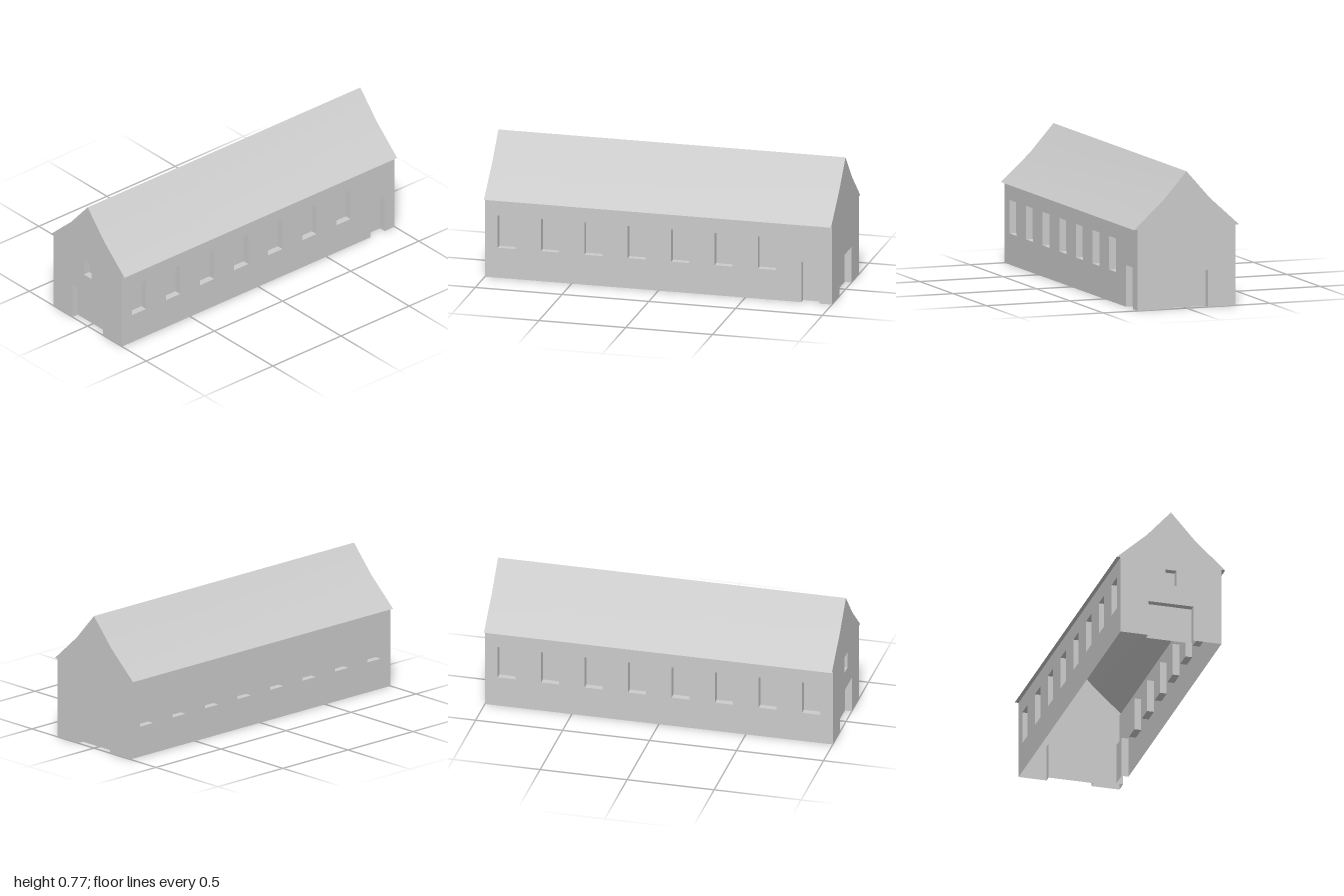
import * as THREE from 'three';

const HALF = 1, DEPTH = 0.293, EAVE_Y = 0.455, RECESS = 0.04;
// Roof half-profile from ridge to eave: [z, y]
const ROOF = [[0, 0.77], [0.14, 0.613], [0.315, EAVE_Y]];

const material = new THREE.MeshStandardMaterial({ color: 0xcccccc, side: THREE.DoubleSide });

function addMesh(parent, name, geometry) {
  const mesh = new THREE.Mesh(geometry, material);
  mesh.name = name;
  parent.add(mesh);
  return mesh;
}

// Recessed opening in a wall facing +z: back panel, jambs, head and (for windows) a sill
function addRecess(parent, name, { x, w, y0, y1 }) {
  const group = new THREE.Group();
  group.name = name;
  parent.add(group);
  const h = y1 - y0, yc = (y0 + y1) / 2;
  addMesh(group, 'panel', new THREE.PlaneGeometry(w, h)).position.set(x, yc, -RECESS);
  for (const s of [-1, 1]) {
    const jamb = addMesh(group, 'jamb', new THREE.PlaneGeometry(RECESS, h));
    jamb.position.set(x + s * w / 2, yc, -RECESS / 2);
    jamb.rotation.y = -s * Math.PI / 2;
  }
  const head = addMesh(group, 'head', new THREE.PlaneGeometry(w, RECESS));
  head.position.set(x, y1, -RECESS / 2);
  head.rotation.x = Math.PI / 2;
  if (y0 > 0) {
    const sill = addMesh(group, 'sill', new THREE.PlaneGeometry(w, RECESS));
    sill.position.set(x, y0, -RECESS / 2);
    sill.rotation.x = -Math.PI / 2;
  }
}

// Thin wall with window holes and an optional doorway notched into its foot
function makeWall(name, halfWidth, top, windows, door) {
  const wall = new THREE.Group();
  wall.name = name;
  const outline = [[-halfWidth, 0]];
  if (door) {
    const a = door.x - door.w / 2, b = door.x + door.w / 2;
    outline.push([a, 0], [a, door.y1], [b, door.y1], [b, 0]);
    addRecess(wall, 'door', door);
  }
  outline.push([halfWidth, 0], ...top);
  const shape = new THREE.Shape(outline.map(p => new THREE.Vector2(...p)));
  for (const o of windows) {
    const a = o.x - o.w / 2, b = o.x + o.w / 2;
    shape.holes.push(new THREE.Path([
      [a, o.y0], [a, o.y1], [b, o.y1], [b, o.y0],
    ].map(p => new THREE.Vector2(...p))));
    addRecess(wall, 'window', o);
  }
  addMesh(wall, 'wallFace', new THREE.ShapeGeometry(shape));
  return wall;
}

// One roof slope with a softly bent profile
function makeSlope() {
  const geometry = new THREE.PlaneGeometry(2 * HALF, 1, 1, ROOF.length - 1);
  const pos = geometry.attributes.position;
  for (let i = 0; i < pos.count; i++) {
    const [z, y] = ROOF[Math.floor(i / 2)];
    pos.setXYZ(i, pos.getX(i), y, z);
  }
  geometry.computeVertexNormals();
  return geometry;
}

export function createModel() {
  const model = new THREE.Group();
  model.name = 'longHouse';

  // Long walls: evenly spaced windows, the last front bay being a door
  const bays = Array.from({ length: 8 }, (_, i) => ({ x: -0.875 + i * 0.25, w: 0.104, y0: 0.175, y1: 0.364 }));
  const longTop = [[HALF, EAVE_Y], [-HALF, EAVE_Y]];
  const frontDoor = { x: 0.875, w: 0.104, y0: 0, y1: 0.234 };
  const front = makeWall('frontWall', HALF, longTop, bays.slice(0, 7), frontDoor);
  front.position.z = DEPTH;
  const back = makeWall('backWall', HALF, longTop, bays);
  back.position.z = -DEPTH;
  back.rotation.y = Math.PI;
  model.add(front, back);

  // Gable ends follow the roof profile and each hold a wide doorway
  const gableTop = [
    [DEPTH, EAVE_Y],
    ...[...ROOF].reverse(),
    ...ROOF.slice(1).map(([z, y]) => [-z, y]),
    [-DEPTH, EAVE_Y],
  ];
  const gate = { x: 0, w: 0.26, y0: 0, y1: 0.208 };
  const loftWindow = { x: 0, w: 0.066, y0: 0.32, y1: 0.415 };
  for (const [side, name, windows] of [[1, 'leftGable', []], [-1, 'rightGable', [loftWindow]]]) {
    const gable = makeWall(name, DEPTH, gableTop, windows, gate);
    gable.position.x = side * HALF;
    gable.rotation.y = side * Math.PI / 2;
    model.add(gable);
  }

  // Roof slopes and the narrow soffits under the eaves
  const overhang = ROOF[2][0] - DEPTH;
  for (const s of [1, -1]) {
    const slope = addMesh(model, s > 0 ? 'frontRoof' : 'backRoof', makeSlope());
    if (s < 0) slope.rotation.y = Math.PI;
    const soffit = addMesh(model, 'soffit', new THREE.PlaneGeometry(2 * HALF, overhang));
    soffit.position.set(0, EAVE_Y, s * (DEPTH + overhang / 2));
    soffit.rotation.x = Math.PI / 2;
  }
  return model;
}
